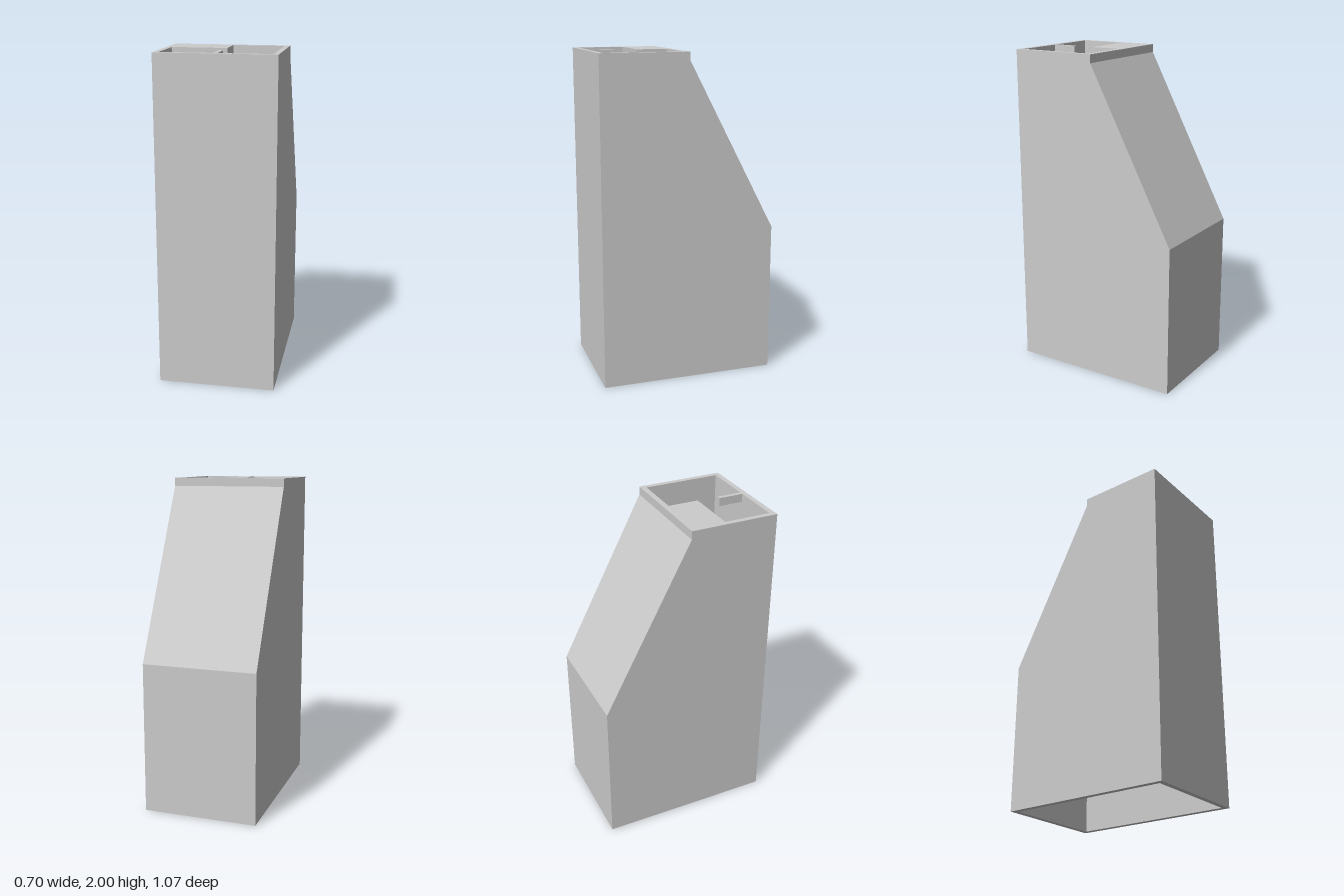
import * as THREE from 'three';

const HALF_W = 0.352, HALF_D = 0.537, WALL = 0.032;
const HEIGHT = 2, SLAB = 0.05;
const IN_W = HALF_W - WALL, IN_D = HALF_D - WALL;

// Rectangular cross-section at height y: half width, front z, back z
const ring = (y, w, front, back) => [
  [-w, y, front], [w, y, front], [w, y, back], [-w, y, back],
];

// Joins successive rings with flat quads
function loft(rings) {
  const pos = [];
  for (let i = 0; i < rings.length - 1; i++) {
    for (let j = 0; j < 4; j++) {
      const k = (j + 1) % 4;
      const a = rings[i][j], b = rings[i][k];
      const c = rings[i + 1][j], d = rings[i + 1][k];
      pos.push(...a, ...c, ...b, ...b, ...c, ...d);
    }
  }
  const geo = new THREE.BufferGeometry();
  geo.setAttribute('position', new THREE.Float32BufferAttribute(pos, 3));
  geo.computeVertexNormals();
  return geo;
}

export function createModel() {
  const group = new THREE.Group();
  group.name = 'hollowTower';
  const material = new THREE.MeshStandardMaterial({ color: 0xcccccc, flatShading: true });
  const add = (name, geometry) => {
    const mesh = new THREE.Mesh(geometry, material);
    mesh.name = name;
    group.add(mesh);
  };

  // Walls: down the outside, under the bottom rim, up the inside
  const slabY = HEIGHT - SLAB, openingBack = 0.034;
  add('walls', loft([
    ring(slabY, HALF_W, HALF_D, 0),
    ring(0.925, HALF_W, HALF_D, -HALF_D),
    ring(0, HALF_W, HALF_D, -HALF_D),
    ring(0, IN_W, IN_D, -IN_D),
    ring(0.917, IN_W, IN_D, -IN_D),
    ring(slabY, IN_W, IN_D, openingBack),
  ]));

  // Top slab: its opening leaves a corner ledge and a short divider rib
  const toShape = (Type, pts) => new Type(pts.map(([x, z]) => new THREE.Vector2(x, -z)));
  const slab = toShape(THREE.Shape, [
    [-HALF_W, HALF_D], [HALF_W, HALF_D], [HALF_W, 0], [-HALF_W, 0],
  ]);
  const rib = 0.0125, ribEnd = 0.352, ledgeFront = 0.221;
  slab.holes.push(toShape(THREE.Path, [
    [-IN_W, IN_D], [-IN_W, ledgeFront], [rib, ledgeFront], [rib, openingBack],
    [IN_W, openingBack], [IN_W, IN_D], [rib, IN_D], [rib, ribEnd],
    [-rib, ribEnd], [-rib, IN_D],
  ]));
  const slabGeo = new THREE.ExtrudeGeometry(slab, { depth: SLAB, bevelEnabled: false });
  slabGeo.rotateX(-Math.PI / 2).translate(0, slabY, 0);
  add('topSlab', slabGeo);

  return group;
}
